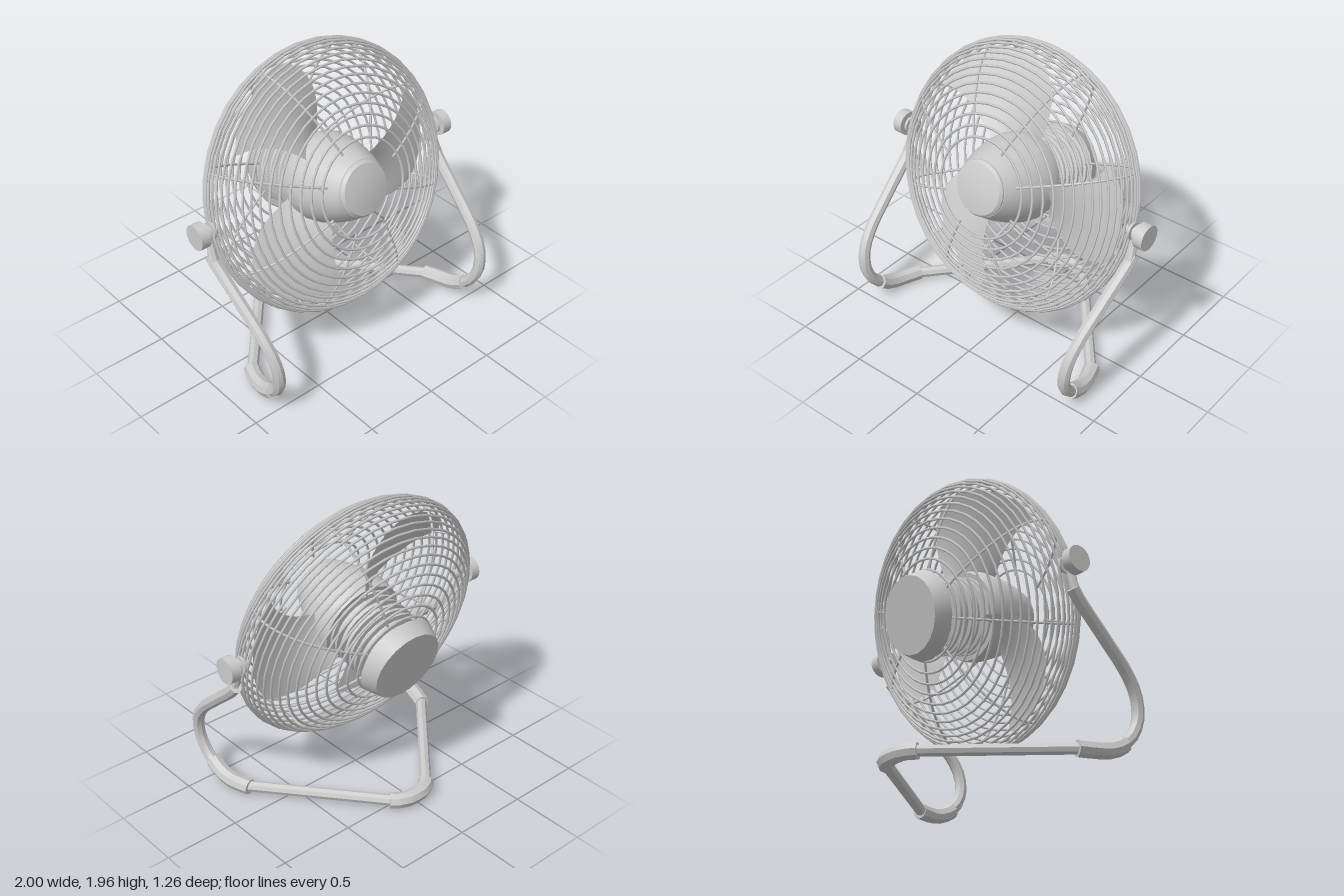
import * as THREE from 'three';
import { toCreasedNormals } from 'three/addons/utils/BufferGeometryUtils.js';

const V = (x, y, z) => new THREE.Vector3(x, y, z);
const grey = new THREE.MeshStandardMaterial({ color: 0xcccccc });
const greyThin = new THREE.MeshStandardMaterial({ color: 0xcccccc, side: THREE.DoubleSide });
const CAGE_R = 0.87, CAGE_D = 0.392;

function add(parent, name, geometry, material = grey) {
  const mesh = new THREE.Mesh(geometry, material);
  mesh.name = name;
  parent.add(mesh);
  return mesh;
}

// Turned part along the fan axis (z), profile as [radius, axial position] from back to front
function turned(profile, segments) {
  const lathe = new THREE.LatheGeometry(profile.map(([r, a]) => new THREE.Vector2(r, a)), segments);
  return toCreasedNormals(lathe.rotateX(Math.PI / 2), 0.5);
}

// Eight-sided pipe along a curve with closed ends
function pipe(parent, name, points, radius, steps) {
  const group = new THREE.Group();
  group.name = name;
  const curve = new THREE.CatmullRomCurve3(points, false, 'centripetal');
  add(group, name + 'Wall', toCreasedNormals(new THREE.TubeGeometry(curve, steps, radius, 8), 0.5));
  for (const t of [0, 1]) {
    const disc = add(group, name + 'End', new THREE.CircleGeometry(radius, 8), greyThin);
    disc.position.copy(curve.getPointAt(t));
    disc.quaternion.setFromUnitVectors(V(0, 0, 1), curve.getTangentAt(t));
  }
  parent.add(group);
}

// Curved, pitched blade surface between two swept edges
function bladeGeometry() {
  const nr = 10, nt = 12;
  const g = new THREE.PlaneGeometry(1, 1, nt, nr);
  const p = g.attributes.position;
  for (let i = 0; i < p.count; i++) {
    const t = p.getX(i) + 0.5, s = p.getY(i) + 0.5;
    const start = 77 + 18 * s ** 3, end = 133 + 15 * s ** 2;
    const angle = THREE.MathUtils.degToRad(THREE.MathUtils.lerp(start, end, t));
    const r = THREE.MathUtils.lerp(0.22, 0.8 - 0.04 * (2 * t - 1) ** 4, s);
    const axial = (t - 0.5) * (0.2 - 0.06 * s);
    p.setXYZ(i, r * Math.cos(angle), r * Math.sin(angle), axial);
  }
  g.computeVertexNormals();
  return g;
}

function buildCage() {
  const cage = new THREE.Group();
  cage.name = 'cage';
  // Parallel wire rings following an ellipsoid, evenly stepped in angle
  const count = 29;
  for (let i = 0; i < count; i++) {
    const u = THREE.MathUtils.lerp(-1.24, 1.2, i / (count - 1));
    const ring = new THREE.TorusGeometry(CAGE_R * Math.cos(u), 0.0085, 5, 36);
    add(cage, 'cageRing', ring).position.z = CAGE_D * Math.sin(u);
  }
  // Eight wires running from the back cap to the hub
  const arc = [];
  for (let i = 0; i <= 24; i++) {
    const u = THREE.MathUtils.lerp(-1.27, 1.24, i / 24);
    arc.push(V((CAGE_R - 0.012) * Math.cos(u), 0, (CAGE_D - 0.006) * Math.sin(u)));
  }
  const wire = new THREE.TubeGeometry(new THREE.CatmullRomCurve3(arc), 32, 0.0085, 5);
  for (let k = 0; k < 8; k++) {
    add(cage, 'cageSpoke', wire).rotation.z = Math.PI / 8 + k * Math.PI / 4;
  }
  return cage;
}

function buildHead() {
  const head = new THREE.Group();
  head.name = 'fanHead';
  head.add(buildCage());

  // Domed hub with a softly rounded front plate
  add(head, 'hub', turned([[0, -0.06], [0.28, -0.06], [0.29, 0], [0.285, 0.06], [0.268, 0.14],
    [0.24, 0.23], [0.208, 0.31], [0.183, 0.36], [0, 0.365]], 24));
  add(head, 'frontPlate', turned([[0, 0.345], [0.18, 0.345], [0.18, 0.372], [0.165, 0.39],
    [0.1, 0.402], [0, 0.407]], 24));

  // Ribbed motor housing
  const ribs = [[0, -0.42]];
  for (let i = 0; i < 8; i++) {
    const a = -0.42 + i * 0.046;
    ribs.push([0.22, a], [0.22, a + 0.018], [0.25, a + 0.022], [0.25, a + 0.04]);
  }
  ribs.push([0, -0.05]);
  add(head, 'motor', turned(ribs, 24));

  // Tapered rear cap
  add(head, 'rearCap', turned([[0, -0.502], [0.245, -0.502], [0.283, -0.4], [0, -0.4]], 20));

  const blade = bladeGeometry();
  for (let k = 0; k < 3; k++) {
    add(head, 'blade', blade, greyThin).rotation.z = k * Math.PI * 2 / 3;
  }
  head.position.set(0, 1.112, -0.006);
  head.rotation.x = -THREE.MathUtils.degToRad(15.5);
  return head;
}

// Pivot, bent leg, elbow sleeve and base bar for one side
function buildSide(s) {
  const side = new THREE.Group();
  side.name = s > 0 ? 'leftStand' : 'rightStand';

  // Pivot bolt, washers and knob: [name, radius, inner x, outer x]
  for (const [name, r, x0, x1] of [['pivotBolt', 0.03, 0.84, 0.95], ['innerWasher', 0.055, 0.876, 0.89],
    ['outerWasher', 0.055, 0.908, 0.925], ['knob', 0.082, 0.935, 1]]) {
    const g = new THREE.CylinderGeometry(r, r, x1 - x0, 20).rotateZ(Math.PI / 2);
    add(side, name, toCreasedNormals(g, 0.5)).position.set(s * (x0 + x1) / 2, 1.115, -0.004);
  }

  // Flattened leg tip reaching up to the pivot
  const a = V(s * 0.908, 0.925, 0.05), b = V(s * 0.9, 1.1, -0.004);
  const tip = add(side, 'legTip', toCreasedNormals(new THREE.CylinderGeometry(0.016, 0.036, a.distanceTo(b), 8), 0.5));
  tip.position.copy(a).lerp(b, 0.5);
  tip.quaternion.setFromUnitVectors(V(0, 1, 0), b.clone().sub(a).normalize());

  // Leg sweeping forward and down
  const leg = [[0.96, 0.018], [0.915, 0.058], [0.72, 0.288], [0.555, 0.472], [0.43, 0.553],
    [0.29, 0.568], [0.17, 0.513], [0.1, 0.428]];
  pipe(side, 'leg', leg.map(([y, z]) => V(s * (0.812 + 0.11 * (y - 0.06)), y, z)), 0.039, 18);

  pipe(side, 'elbowSleeve', [V(s * 0.815, 0.13, 0.473), V(s * 0.808, 0.08, 0.388),
    V(s * 0.795, 0.058, 0.29), V(s * 0.75, 0.055, 0.16)], 0.052, 5);
  pipe(side, 'baseBar', [V(s * 0.765, 0.056, 0.19), V(s * 0.12, 0.056, -0.56)], 0.036, 1);
  return side;
}

export function createModel() {
  const model = new THREE.Group();
  model.name = 'floorFan';
  // The whole fan stands turned very slightly to one side
  const fan = new THREE.Group();
  fan.name = 'fan';
  fan.rotation.y = -0.02;
  fan.add(buildHead(), buildSide(1), buildSide(-1));
  // Bent sleeve joining the two base bars at the back
  pipe(fan, 'rearSleeve', [V(-0.155, 0.054, -0.52), V(-0.085, 0.054, -0.573),
    V(0.085, 0.054, -0.573), V(0.155, 0.054, -0.52)], 0.052, 6);
  model.add(fan);
  return model;
}
